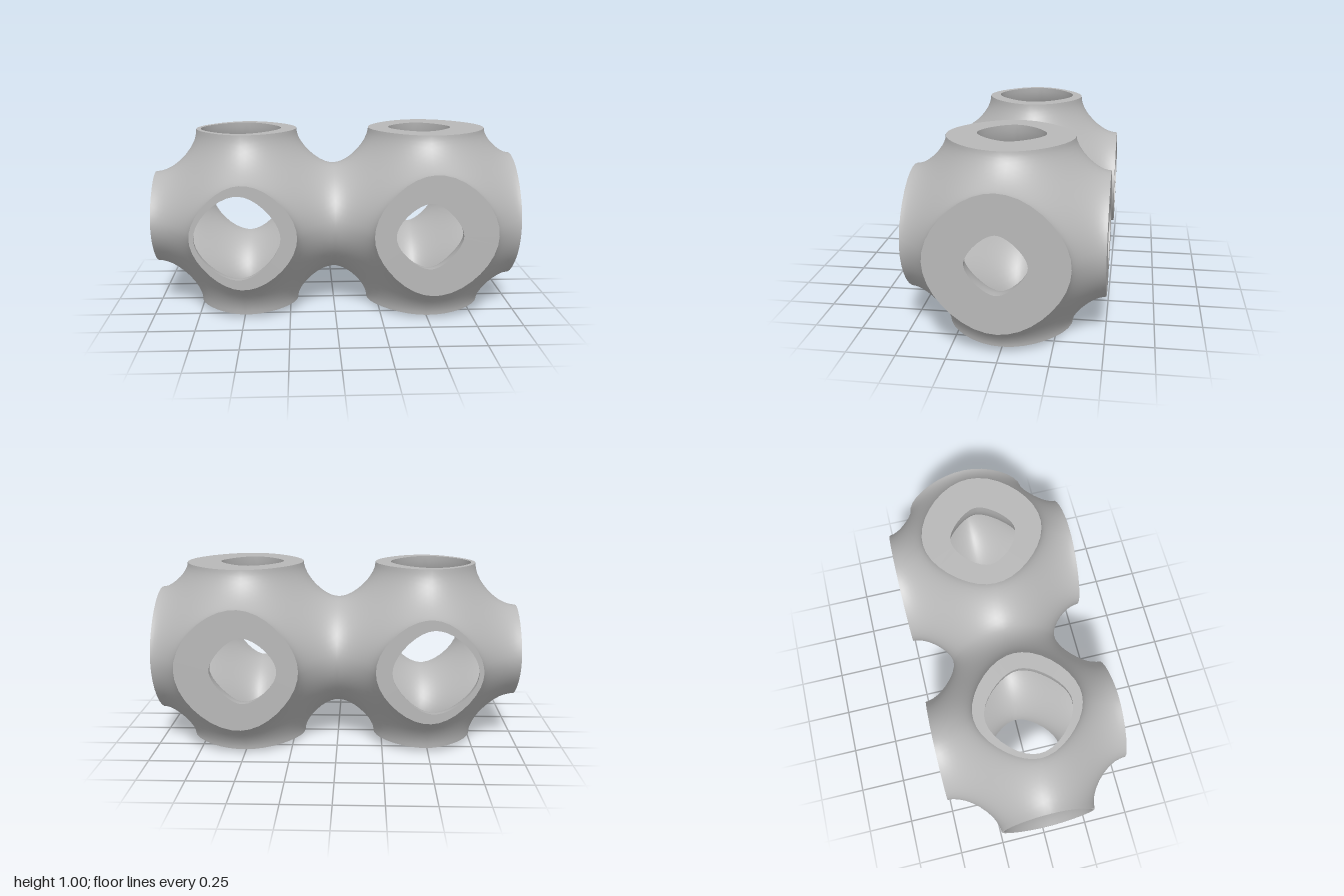
import * as THREE from 'three';
import { mergeVertices } from 'three/addons/utils/BufferGeometryUtils.js';

const N = 9; // subdivisions along each wedge of a patch
const TAU = Math.PI * 2;

// Slide a point inside a unit cell (centre at 0) onto cos x + cos y + cos z = 0.
// The gradient vanishes across cell faces, so border points stay on them.
function settle(p) {
  for (let i = 0; i < 8; i++) {
    const f = Math.cos(TAU * p.x) + Math.cos(TAU * p.y) + Math.cos(TAU * p.z);
    const g = outward(p);
    p.addScaledVector(g, f / (TAU * g.lengthSq()));
  }
  return p;
}
function outward(p) {
  return new THREE.Vector3(Math.sin(TAU * p.x), Math.sin(TAU * p.y), Math.sin(TAU * p.z));
}

// Half the wall thickness, growing from -x to +x
function halfWall(x) {
  return 0.051 + 0.047 * x - 0.002 * Math.cos(Math.PI * x) - 0.005 * Math.sin(TAU * x);
}

// One octant of the cell is a hexagonal patch
const corners = [
  [0.5, 0.25, 0], [0.25, 0.5, 0], [0, 0.5, 0.25],
  [0, 0.25, 0.5], [0.25, 0, 0.5], [0.5, 0, 0.25],
].map((c) => new THREE.Vector3(...c));
const middle = new THREE.Vector3(0.25, 0.25, 0.25);

// Triangular grid of settled points for each of the six wedges
const wedges = corners.map((a, k) => {
  const b = corners[(k + 1) % 6];
  const rows = [];
  for (let i = 0; i <= N; i++) {
    rows.push([]);
    for (let j = 0; j <= i; j++) {
      rows[i].push(settle(middle.clone().multiplyScalar(1 - i / N)
        .addScaledVector(a, (i - j) / N).addScaledVector(b, j / N)));
    }
  }
  const face = ['x', 'y', 'z'].find((n) => a[n] === 0.5 && b[n] === 0.5);
  return { rows, face };
});

// Add a triangle wound so that it faces along ref
function addTri(list, a, b, c, ref) {
  const n = b.clone().sub(a).cross(c.clone().sub(a));
  const order = n.dot(ref) < 0 ? [a, c, b] : [a, b, c];
  for (const v of order) list.push(v.x, v.y, v.z);
}

function toGeometry(list) {
  let g = new THREE.BufferGeometry();
  g.setAttribute('position', new THREE.Float32BufferAttribute(list, 3));
  g = mergeVertices(g, 1e-5);
  g.computeVertexNormals();
  return g;
}

export function createModel() {
  const group = new THREE.Group();
  group.name = 'gradedLattice';
  const grey = new THREE.MeshStandardMaterial({ color: 0xb8b8b8 });
  grey.name = 'grey';
  const outer = [], inner = [], rims = [];

  for (const cx of [-0.5, 0.5])
    for (const sx of [-1, 1]) for (const sy of [-1, 1]) for (const sz of [-1, 1]) {
      const mirror = new THREE.Vector3(sx, sy, sz);
      const centre = new THREE.Vector3(cx, 0.5, 0);
      const normalAt = (p) => outward(p).normalize().multiply(mirror);
      const place = (p, side) => {
        const q = p.clone().multiply(mirror).add(centre);
        return q.addScaledVector(normalAt(p), side * halfWall(q.x));
      };

      for (const { rows, face } of wedges) {
        // Outer and inner skins
        for (const [list, side] of [[outer, 1], [inner, -1]]) {
          const tri = (a, b, c) => addTri(list, place(a, side), place(b, side), place(c, side),
            normalAt(a).multiplyScalar(side));
          for (let i = 0; i < N; i++) for (let j = 0; j <= i; j++) {
            tri(rows[i][j], rows[i + 1][j], rows[i + 1][j + 1]);
            if (j < i) tri(rows[i][j], rows[i + 1][j + 1], rows[i][j + 1]);
          }
        }
        // Flat rims at the open mouths, skipping the joint between cells
        if (!face || (face === 'x' && sx * cx < 0)) continue;
        const ref = new THREE.Vector3();
        ref[face] = mirror[face];
        for (let j = 0; j < N; j++) {
          const p = rows[N][j], q = rows[N][j + 1];
          addTri(rims, place(p, 1), place(q, 1), place(q, -1), ref);
          addTri(rims, place(p, 1), place(q, -1), place(p, -1), ref);
        }
      }
    }

  for (const [name, list] of [['outerSkin', outer], ['innerSkin', inner], ['mouthRims', rims]]) {
    const mesh = new THREE.Mesh(toGeometry(list), grey);
    mesh.name = name;
    group.add(mesh);
  }
  return group;
}
